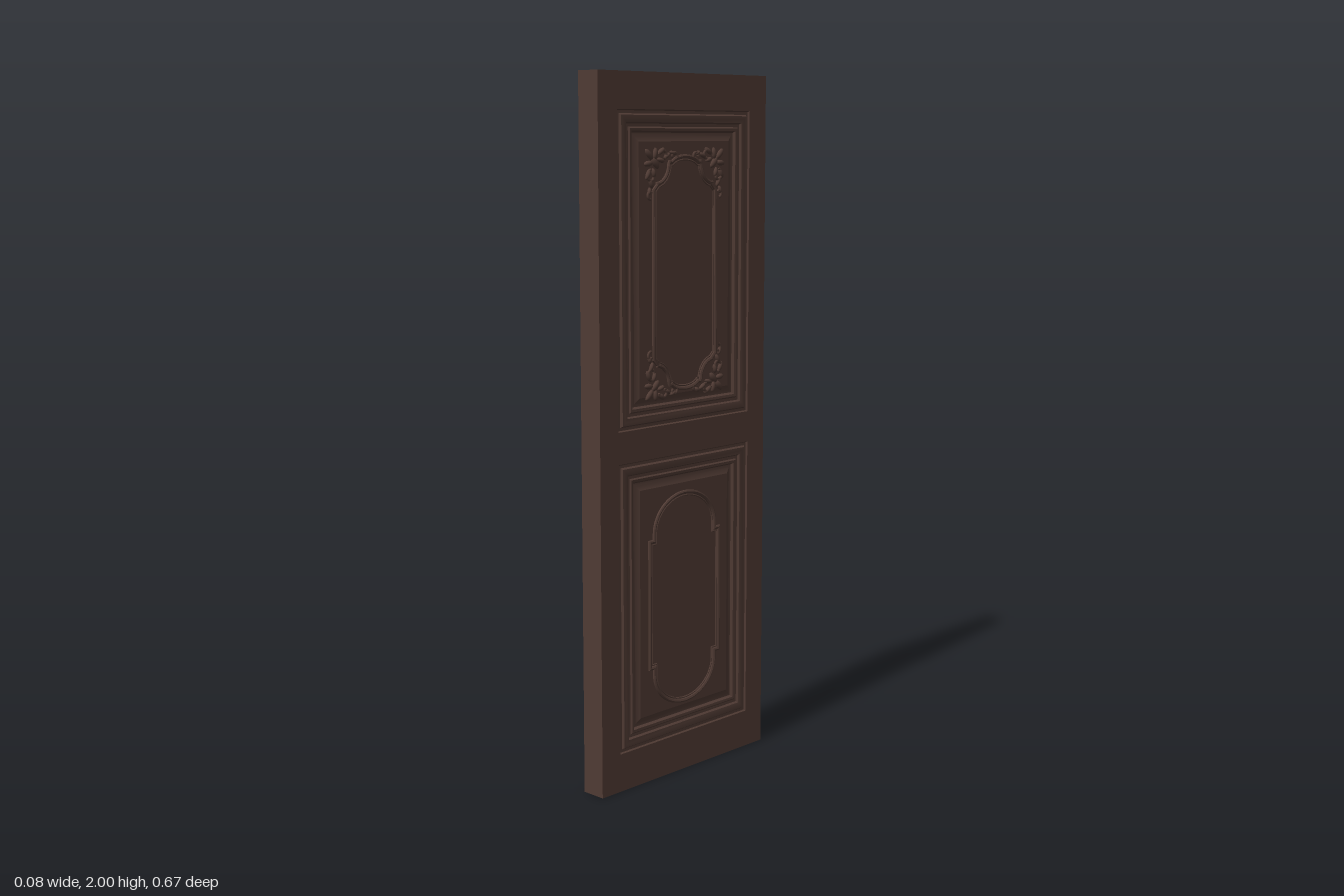
import * as THREE from 'three';
import { toCreasedNormals } from 'three/addons/utils/BufferGeometryUtils.js';

const HALF_T = 0.037, HALF_W = 0.335, HEIGHT = 2, FIELD = 0.033;
const PANEL_W = 0.265;
const UPPER = { y0: 1.03, y1: 1.9 }, LOWER = { y0: 0.11, y1: 0.94 };

const rect = (w, y0, y1) => [[-w, y0], [w, y0], [w, y1], [-w, y1]].map(p => new THREE.Vector2(...p));

// Moves a closed counter-clockwise outline inward by d with mitred corners
function inset(pts, d) {
  const n = pts.length;
  const normal = (a, b) => new THREE.Vector2(a.y - b.y, b.x - a.x).normalize();
  return pts.map((p, i) => {
    const n1 = normal(pts[(i + n - 1) % n], p), n2 = normal(p, pts[(i + 1) % n]);
    return n1.clone().add(n2).multiplyScalar(d / Math.max(0.4, 1 + n1.dot(n2))).add(p);
  });
}

// Sweeps a moulding profile [inset, height] around a closed outline
function moulding(pts, profile) {
  const rings = profile.map(([d, h]) => inset(pts, d).map(p => [p.x, p.y, h]));
  const pos = [];
  for (let j = 0; j < rings.length - 1; j++) {
    for (let i = 0; i < pts.length; i++) {
      const k = (i + 1) % pts.length;
      const a = rings[j][i], b = rings[j][k], c = rings[j + 1][k], d = rings[j + 1][i];
      pos.push(...a, ...b, ...c, ...a, ...c, ...d);
    }
  }
  const g = new THREE.BufferGeometry();
  g.setAttribute('position', new THREE.Float32BufferAttribute(pos, 3));
  return toCreasedNormals(g, 0.45);
}

// Outline mirrored left-right and top-bottom from one quarter, side to top
function mirroredOutline(quarter, cy) {
  const flip = (q, sx, sy) => q.map(([x, y]) => new THREE.Vector2(sx * x, cy + sy * y));
  const back = [...quarter].reverse();
  return [...flip(quarter, 1, 1), ...flip(back, -1, 1), ...flip(quarter, -1, -1), ...flip(back, 1, -1)];
}

function arc(cx, cy, rx, ry, a0, a1, n) {
  return Array.from({ length: n + 1 }, (_, i) => {
    const a = a0 + (a1 - a0) * i / n;
    return [cx + rx * Math.cos(a), cy + ry * Math.sin(a)];
  });
}

export function createModel() {
  const door = new THREE.Group();
  door.name = 'door';
  const wood = new THREE.MeshStandardMaterial({ color: 0x503b34 });
  wood.name = 'dark brown wood';

  const add = (parent, geometry, name) => {
    const mesh = new THREE.Mesh(geometry, wood);
    mesh.name = name;
    parent.add(mesh);
    return mesh;
  };

  // Stiles and rails: one slab with two panel openings
  const slab = new THREE.Shape(rect(HALF_W, 0, HEIGHT));
  for (const { y0, y1 } of [UPPER, LOWER]) slab.holes.push(new THREE.Path(rect(PANEL_W, y0, y1).reverse()));
  const frame = new THREE.ExtrudeGeometry(slab, { depth: HALF_T * 2, bevelEnabled: false });
  frame.translate(0, 0, -HALF_T).rotateY(Math.PI / 2);
  add(door, frame, 'stilesAndRails');

  // Stepped surround running down to the flat field
  const surround = [[0, HALF_T], [0.003, 0.032], [0.011, 0.032], [0.015, 0.038], [0.024, 0.039],
    [0.034, 0.037], [0.038, 0.031], [0.046, 0.031], [0.05, 0.035], [0.057, 0.034], [0.062, 0.027], [0.07, 0.027], [0.085, FIELD]];
  const bead = [[0, FIELD - 0.001], [0.001, 0.037], [0.005, 0.039], [0.01, 0.037],
    [0.012, 0.034], [0.015, 0.0355], [0.018, FIELD - 0.001]];

  // Cartouche quarters, measured from the panel centre
  const upperQuarter = [[0.13, 0.235], [0.115, 0.25], ...arc(0.115, 0.305, 0.045, 0.05, -Math.PI / 2, -Math.PI, 6),
    [0.065, 0.315], ...arc(0, 0.3, 0.062, 0.03, 0.5, Math.PI / 2 - 0.1, 5)];
  const lowerQuarter = [[0.148, 0.19], [0.13, 0.19], ...arc(0, 0.205, 0.13, 0.11, 0, Math.PI / 2 - 0.06, 14)];

  // Leaves: [x, y, length, width, angle], centred on the cartouche
  const leaves = [
    [0.142, 0.33, 0.026, 0.011, 0.8], [0.118, 0.332, 0.022, 0.010, 1.7], [0.145, 0.305, 0.021, 0.010, -0.1],
    [0.095, 0.338, 0.022, 0.009, 2.6], [0.146, 0.276, 0.022, 0.009, -1.1], [0.118, 0.306, 0.026, 0.012, 0.8],
    [0.072, 0.326, 0.019, 0.008, -0.5], [0.135, 0.252, 0.020, 0.008, 1.1], [0.096, 0.314, 0.018, 0.008, 0.3],
    [0.124, 0.28, 0.018, 0.008, 1.3], [0.05, 0.333, 0.015, 0.007, 0.4], [0.142, 0.23, 0.015, 0.007, 1.8],
  ];
  // Scrolls: [x, y, radius, start angle, turn]
  const scrolls = [[0.087, 0.325, 0.02, 0.2, 4.5], [0.132, 0.27, 0.02, 1.4, -4.5], [0.046, 0.325, 0.014, 3.4, -4], [0.137, 0.222, 0.014, -1.6, 4]];

  function carving(sx, sy, cy) {
    const corner = new THREE.Group();
    corner.name = 'cornerCarving';
    for (const [x, y, len, wid, angle] of leaves) {
      const leaf = add(corner, new THREE.SphereGeometry(1, 12, 8), 'leaf');
      leaf.position.set(sx * x, cy + sy * y, FIELD);
      leaf.scale.set(len * 0.75, wid * 0.8, 0.008);
      leaf.rotation.z = sx * sy * angle;
    }
    for (const [x, y, r, start, turn] of scrolls) {
      const pts = Array.from({ length: 10 }, (_, i) => {
        const t = i / 9, a = start + turn * t, q = r * (1 - 0.7 * t);
        return new THREE.Vector3(sx * (x + q * Math.cos(a)), cy + sy * (y + q * Math.sin(a)), FIELD + 0.002);
      });
      add(corner, new THREE.TubeGeometry(new THREE.CatmullRomCurve3(pts), 20, 0.0042, 6), 'scroll');
    }
    return corner;
  }

  // Both broad faces carry the same pair of panels
  for (const side of [1, -1]) {
    const face = new THREE.Group();
    face.name = side > 0 ? 'leftFace' : 'rightFace';
    face.rotation.y = side * Math.PI / 2;
    door.add(face);

    for (const [label, { y0, y1 }] of [['upper', UPPER], ['lower', LOWER]]) {
      const outline = rect(PANEL_W, y0, y1);
      add(face, moulding(outline, surround), label + 'PanelMoulding');
      const field = new THREE.ShapeGeometry(new THREE.Shape(inset(outline, 0.085)));
      add(face, field.translate(0, 0, FIELD), label + 'PanelField');
    }

    add(face, moulding(mirroredOutline(upperQuarter, 1.45), bead), 'upperCartouche');
    add(face, moulding(mirroredOutline(lowerQuarter, 0.517), bead), 'lowerCartouche');
    for (const sx of [1, -1]) for (const sy of [1, -1]) face.add(carving(sx, sy, 1.45));
  }
  return door;
}
